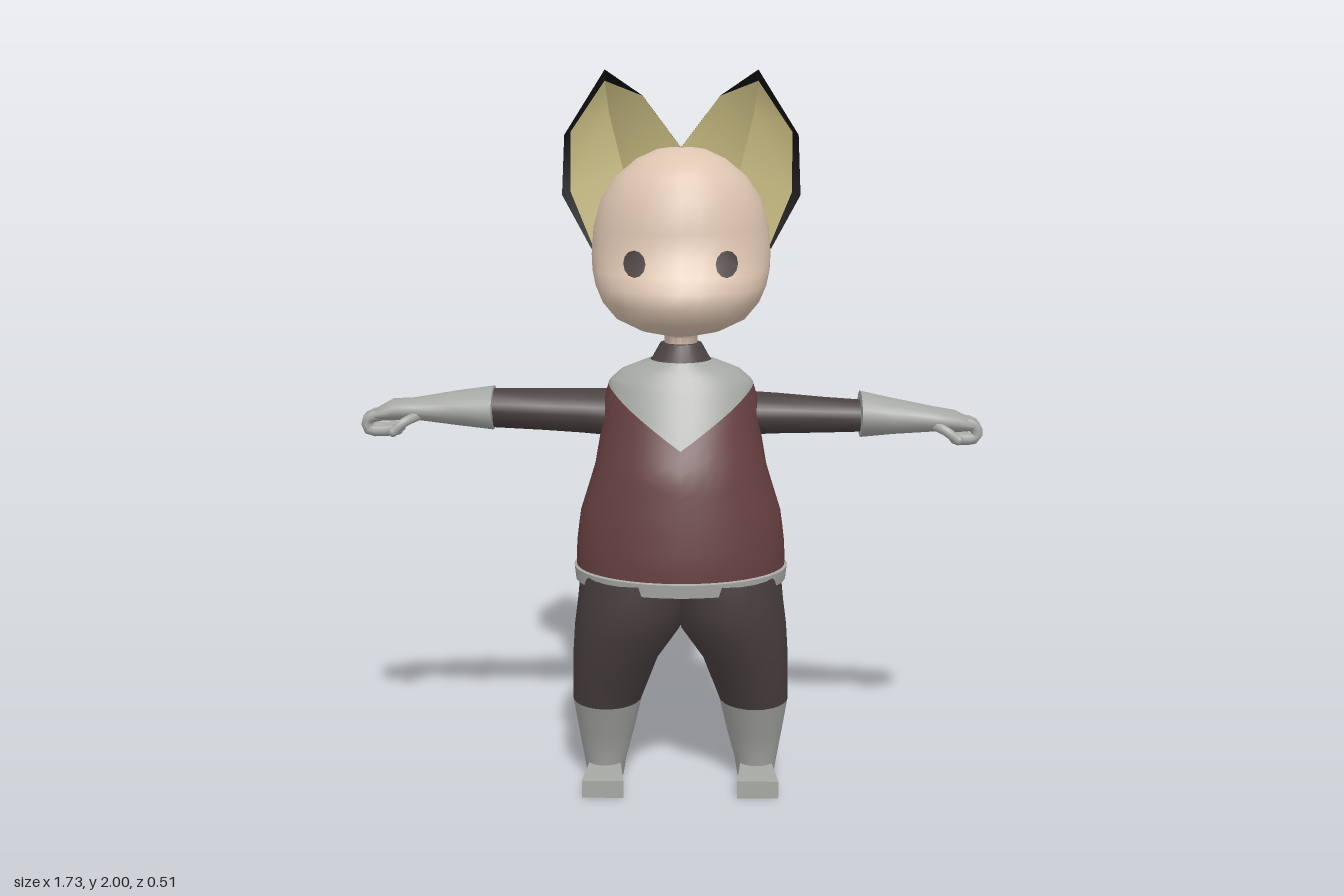
import * as THREE from 'three';
import { toCreasedNormals } from 'three/addons/utils/BufferGeometryUtils.js';

const mat = (name, color, side = THREE.FrontSide) => {
  const m = new THREE.MeshStandardMaterial({ color, side });
  m.name = name;
  return m;
};
const V = (x, y, z) => new THREE.Vector3(x, y, z);

export function createModel() {
  const skin = mat('skin', 0xdcc4b0);
  const grey = mat('light grey', 0xa6a8a4);
  const red = mat('dark red', 0x663f40);
  const dark = mat('dark brown grey', 0x4a4040);
  const black = mat('black', 0x0c0c0c, THREE.DoubleSide);
  const straw = mat('straw yellow', 0xbfb37c, THREE.DoubleSide);

  const model = new THREE.Group();
  const body = new THREE.Group();
  body.name = 'body';
  body.position.x = 0.025;
  model.add(body);

  const add = (parent, name, geometry, material) => {
    const mesh = new THREE.Mesh(geometry, material);
    mesh.name = name;
    parent.add(mesh);
    return mesh;
  };

  // Skin over rows of points; closed rows wrap round
  const loft = (rows, closed = true) => {
    const n = rows[0].length, index = [];
    for (let r = 0; r < rows.length - 1; r++) {
      for (let i = 0; i < (closed ? n : n - 1); i++) {
        const a = r * n + i, b = r * n + (i + 1) % n;
        index.push(a, b, b + n, a, b + n, a + n);
      }
    }
    const g = new THREE.BufferGeometry().setFromPoints(rows.flat());
    g.setIndex(index);
    return toCreasedNormals(g, 0.85);
  };

  // Point on an upright form; a section is [y, half width, front z, back z, centre x]
  const onSection = ([y, rx, zf, zb, cx = 0], t) =>
    V(cx + rx * Math.sin(t), y, (zf + zb) / 2 + (zf - zb) / 2 * Math.cos(t));
  const onForm = (sections, t, y) => {
    let i = 0;
    while (i < sections.length - 2 && sections[i + 1][0] < y) i++;
    const a = sections[i], b = sections[i + 1];
    const k = (y - a[0]) / (b[0] - a[0]);
    return onSection(a.map((v, j) => v + (b[j] - v) * k), t);
  };
  const angles = n => Array.from({ length: n }, (_, i) => i / n * Math.PI * 2);
  const upright = (sections, n = 24) =>
    loft(sections.map(s => angles(n).map(t => onSection(s, t))));

  // Head and neck
  const headForm = [
    [1.292, 0.0, -0.02, -0.02], [1.297, 0.06, 0.08, -0.1], [1.312, 0.115, 0.15, -0.112],
    [1.345, 0.175, 0.225, -0.14], [1.39, 0.212, 0.256, -0.165], [1.43, 0.23, 0.256, -0.195],
    [1.47, 0.24, 0.228, -0.228], [1.51, 0.243, 0.2, -0.25], [1.58, 0.238, 0.187, -0.253],
    [1.66, 0.216, 0.178, -0.235], [1.72, 0.175, 0.145, -0.2], [1.765, 0.12, 0.085, -0.155],
    [1.79, 0.065, 0.02, -0.1], [1.8, 0.0, -0.03, -0.03]];
  add(body, 'head', upright(headForm, 28), skin);
  add(body, 'neck', upright([[1.24, 0.045, -0.01, -0.105], [1.28, 0.046, -0.01, -0.108],
    [1.33, 0.085, 0.04, -0.13]], 16), skin);

  // Eyes follow the face
  for (const s of [-1, 1]) {
    const rim = angles(12).map(a =>
      onForm(headForm, s * 0.512 + 0.14 * Math.cos(a), 1.503 + 0.034 * Math.sin(a)));
    const mid = rim.map(() => onForm(headForm, s * 0.512, 1.503));
    const eye = add(body, s > 0 ? 'leftEye' : 'rightEye', loft([rim, mid]), dark);
    eye.position.set(s * 0.003, 0, 0.006);
  }

  // Ears: cupped shells, each row running inner edge, spine, outer edge
  const tip = [0.21, 2, -0.15];
  const earRows = [
    [tip, tip, tip],
    [[0.105, 1.93, -0.11], [0.2, 1.88, -0.19], [0.32, 1.825, -0.11]],
    [[0, 1.795, -0.01], [0.16, 1.72, -0.175], [0.325, 1.665, -0.07]],
    [[0.1, 1.6, -0.05], [0.215, 1.57, -0.135], [0.245, 1.52, -0.05]]];
  for (const s of [-1, 1]) {
    const ear = new THREE.Group();
    ear.name = s > 0 ? 'leftEar' : 'rightEar';
    body.add(ear);
    const rows = earRows.map(r => r.map(([x, y, z]) => V(s * x, y, z)));
    add(ear, 'earShell', loft(rows, false), black);
    const lining = rows.map(([a, b, c], i) => i === 0
      ? [a, b, c].map(p => p.clone().add(V(0, -0.03, 0)))
      : [a.clone(), b.clone(), c.clone().lerp(b, 0.14)]);
    add(ear, 'earLining', loft(lining, false), straw).position.z = 0.008;
  }

  // Torso: vest below and yoke above a shared edge, V at the front and flat at the back
  const torsoForm = [
    [0.63, 0.29, 0.235, -0.21], [0.7, 0.29, 0.235, -0.212], [0.8, 0.278, 0.222, -0.21],
    [0.93, 0.237, 0.2, -0.205], [1.03, 0.22, 0.155, -0.222], [1.1, 0.215, 0.12, -0.205],
    [1.16, 0.198, 0.09, -0.18], [1.19, 0.165, 0.072, -0.16], [1.22, 0.085, 0.05, -0.14]];
  const yokeEdge = t => {
    const x = Math.abs(Math.sin(t));
    return Math.cos(t) > 0 ? 1.0 + 0.15 * x : 1.02 + 0.13 * Math.max(0, (x - 0.5) / 0.5);
  };
  const torsoPart = (low, high, n) => loft(Array.from({ length: n + 1 }, (_, i) =>
    angles(40).map(t => onForm(torsoForm, t, low(t) + (high(t) - low(t)) * i / n))));
  add(body, 'vest', torsoPart(() => 0.63, yokeEdge, 12), red);
  add(body, 'yoke', torsoPart(yokeEdge, () => 1.22, 10), grey);
  add(body, 'hem', upright([[0.622, 0, 0.01, 0.01], [0.615, 0.275, 0.22, -0.2],
    [0.613, 0.293, 0.238, -0.213], [0.65, 0.297, 0.242, -0.217],
    [0.655, 0.286, 0.23, -0.205]], 40), grey);
  add(body, 'collar', upright([[1.195, 0.11, 0.06, -0.148], [1.225, 0.078, 0.03, -0.128],
    [1.262, 0.057, 0.002, -0.114], [1.264, 0, -0.055, -0.055]], 20), dark);

  // Legs
  for (const s of [-1, 1]) {
    const leg = new THREE.Group();
    leg.name = s > 0 ? 'leftLeg' : 'rightLeg';
    body.add(leg);
    const side = rows => rows.map(([y, rx, zf, zb, cx]) => [y, rx, zf, zb, s * cx]);
    add(leg, 'trouserLeg', upright(side([
      [0.25, 0.098, 0.105, -0.125, 0.208], [0.39, 0.121, 0.165, -0.118, 0.181],
      [0.48, 0.149, 0.205, -0.152, 0.147], [0.55, 0.155, 0.23, -0.185, 0.132],
      [0.64, 0.155, 0.225, -0.19, 0.123]])), dark);
    add(leg, 'boot', upright(side([
      [0, 0.052, 0.02, -0.112, 0.217], [0.05, 0.06, 0.022, -0.115, 0.217],
      [0.15, 0.08, 0.062, -0.12, 0.212], [0.25, 0.098, 0.105, -0.125, 0.208]])), grey);
    // Foot narrows to the heel
    const foot = new THREE.BoxGeometry(0.116, 0.05, 0.24);
    const p = foot.attributes.position;
    for (let i = 0; i < p.count; i++) if (p.getZ(i) < 0) p.setX(i, p.getX(i) * 0.6);
    foot.computeVertexNormals();
    add(leg, 'foot', foot, grey).position.set(s * 0.217, 0.025, 0.014);
  }

  // Arms: rings are [x, y, z, half height, half depth] with x rising
  const limb = rings => loft(rings.map(([x, y, z, ry, rz]) =>
    angles(16).map(a => V(x, y + ry * Math.cos(a), z + rz * Math.sin(a)))));
  const arms = [
    { name: 'rightArm',
      sleeve: [[-0.5, 1.075, -0.07, 0.055, 0.07], [-0.36, 1.07, -0.075, 0.058, 0.078],
        [-0.25, 1.065, -0.085, 0.062, 0.088], [-0.12, 1.06, -0.08, 0.068, 0.095]],
      glove: [[-0.845, 1.05, -0.062, 0, 0], [-0.835, 1.055, -0.062, 0.014, 0.035],
        [-0.78, 1.07, -0.065, 0.03, 0.055], [-0.72, 1.072, -0.07, 0.03, 0.055],
        [-0.6, 1.075, -0.068, 0.048, 0.073], [-0.497, 1.076, -0.067, 0.061, 0.088],
        [-0.495, 1.076, -0.067, 0.05, 0.065]],
      finger: [[-0.8, 1.06], [-0.847, 1.047], [-0.845, 1.018], [-0.81, 1.014], [-0.765, 1.018]],
      handZ: -0.065, thumb: [V(-0.7, 1.06, -0.035), V(-0.74, 1.045, 0), V(-0.77, 1.02, 0.008)] },
    { name: 'leftArm',
      sleeve: [[0.17, 1.06, -0.085, 0.062, 0.1], [0.3, 1.06, -0.075, 0.056, 0.08],
        [0.42, 1.06, -0.052, 0.05, 0.062], [0.525, 1.06, -0.04, 0.045, 0.052]],
      glove: [[0.52, 1.065, -0.042, 0.04, 0.05], [0.522, 1.065, -0.042, 0.064, 0.088],
        [0.61, 1.06, -0.038, 0.05, 0.072], [0.72, 1.053, -0.033, 0.035, 0.056],
        [0.785, 1.046, -0.035, 0.03, 0.055], [0.835, 1.035, -0.04, 0.016, 0.038],
        [0.845, 1.03, -0.04, 0, 0]],
      finger: [[0.8, 1.045], [0.838, 1.035], [0.842, 1.005], [0.815, 0.998], [0.785, 1.0]],
      handZ: -0.04, thumb: [V(0.71, 1.045, -0.005), V(0.75, 1.03, 0.025), V(0.785, 1.005, 0.032)] }];
  for (const a of arms) {
    const arm = new THREE.Group();
    arm.name = a.name;
    model.add(arm);
    add(arm, 'sleeve', limb(a.sleeve), dark);
    add(arm, 'glove', limb(a.glove), grey);
    const digit = (name, points, r) => {
      add(arm, name, new THREE.TubeGeometry(new THREE.CatmullRomCurve3(points), 10, r, 8), grey);
      add(arm, name + 'Tip', new THREE.SphereGeometry(r, 8, 6), grey)
        .position.copy(points[points.length - 1]);
    };
    for (const k of [-1, 0, 1]) {
      digit('finger', a.finger.map(([x, y]) => V(x, y, a.handZ + k * 0.024)), 0.016);
    }
    digit('thumb', a.thumb, 0.014);
  }
  return model;
}
